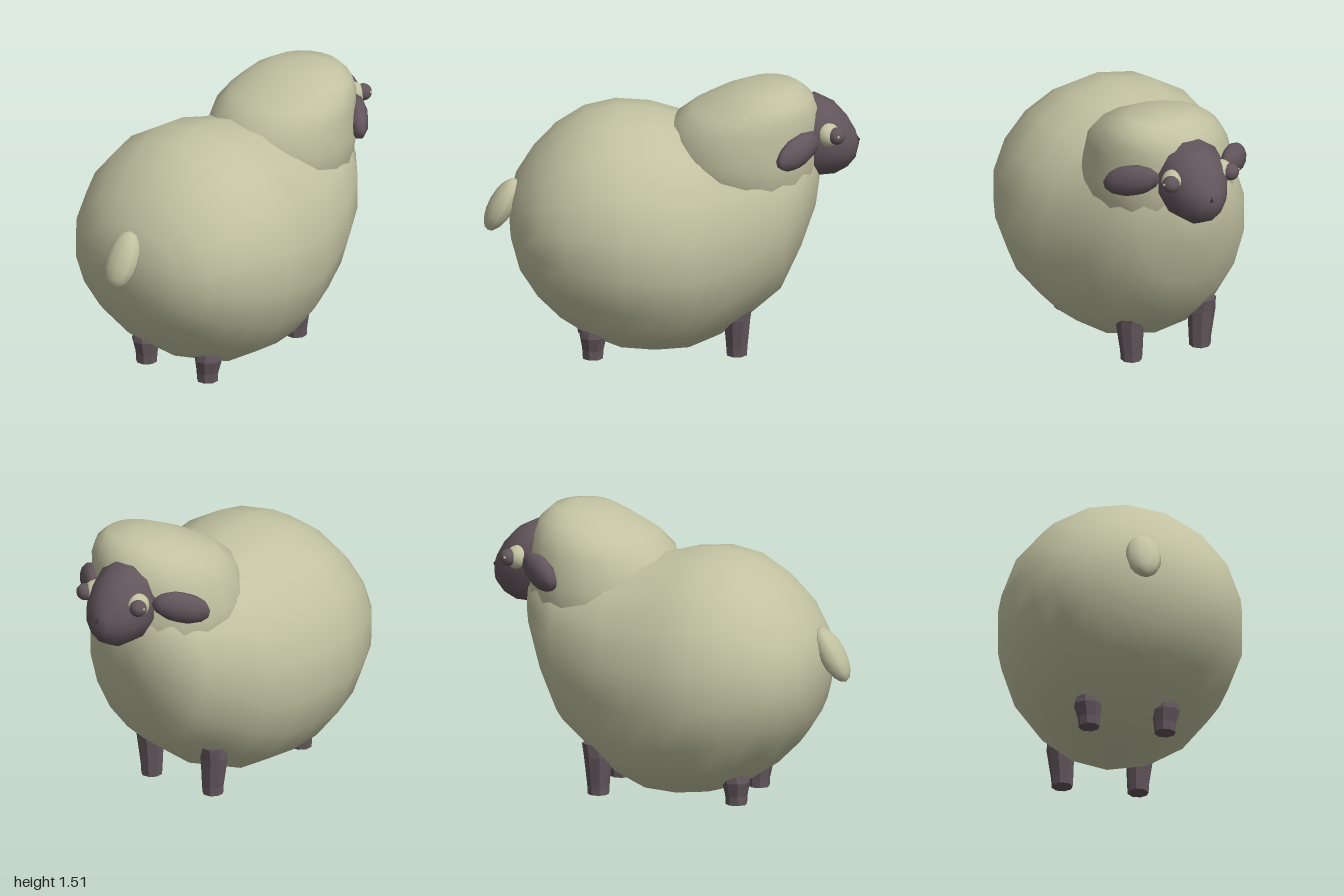
import * as THREE from 'three';

const mat = (name, color) => {
  const m = new THREE.MeshStandardMaterial({ color });
  m.name = name;
  return m;
};

// Closed skin over elliptical rings; rows are [w, u, v, ru, rv], first and last rows are poles.
// axis 'z': w=z, u=x, v=y.  axis 'y': w=y, u=z, v=x.
function loft(rows, sides, axis, flat = false) {
  const pos = [], idx = [];
  const put = (w, u, v) => pos.push(...(axis === 'z' ? [u, v, w] : [v, w, u]));
  const last = rows.length - 1;
  put(rows[0][0], rows[0][1], rows[0][2]);
  for (let i = 1; i < last; i++) {
    const [w, u, v, ru, rv] = rows[i];
    for (let j = 0; j < sides; j++) {
      const a = ((j + 0.5) / sides) * Math.PI * 2;
      put(w, u + ru * Math.cos(a), v + rv * Math.sin(a));
    }
  }
  put(rows[last][0], rows[last][1], rows[last][2]);
  const end = pos.length / 3 - 1;
  const at = (i, j) => 1 + (i - 1) * sides + (j % sides);
  for (let j = 0; j < sides; j++) {
    idx.push(0, at(1, j + 1), at(1, j));
    for (let i = 1; i < last - 1; i++) {
      const a = at(i, j), b = at(i, j + 1), c = at(i + 1, j + 1), d = at(i + 1, j);
      idx.push(a, b, d, b, c, d);
    }
    idx.push(at(last - 1, j), at(last - 1, j + 1), end);
  }
  let g = new THREE.BufferGeometry();
  g.setAttribute('position', new THREE.Float32BufferAttribute(pos, 3));
  g.setIndex(idx);
  if (flat) g = g.toNonIndexed();
  g.computeVertexNormals();
  return g;
}

export function createModel() {
  const root = new THREE.Group();
  root.name = 'sheep';
  const wool = mat('wool', 0xc2c2a2);
  const skin = mat('darkSkin', 0x62565c);
  const noseDark = mat('noseDark', 0x40363c);
  const add = (name, geo, material) => {
    const m = new THREE.Mesh(geo, material);
    m.name = name;
    root.add(m);
    return m;
  };

  // Round fleece: z, bottom, top, half width, centre x
  const body = [
    [-0.79, 0.97, 0.97, 0, 0.05], [-0.76, 0.78, 1.18, 0.16, 0.05], [-0.68, 0.56, 1.25, 0.29, 0.05],
    [-0.57, 0.33, 1.27, 0.39, 0.05], [-0.4, 0.19, 1.27, 0.48, 0.04], [-0.25, 0.08, 1.27, 0.54, 0.02],
    [-0.08, 0.01, 1.28, 0.6, 0.01], [0.1, 0, 1.33, 0.645, 0], [0.28, 0.02, 1.345, 0.66, 0],
    [0.45, 0.09, 1.31, 0.62, 0], [0.6, 0.19, 1.22, 0.55, 0], [0.72, 0.31, 1.1, 0.46, 0],
    [0.81, 0.45, 0.97, 0.32, 0], [0.85, 0.6, 0.85, 0.16, 0], [0.86, 0.72, 0.72, 0, 0],
  ].map(([z, lo, hi, rx, cx]) => [z, cx, (lo + hi) / 2, rx, (hi - lo) / 2]);
  add('body', loft(body, 18, 'z'), wool);

  // Woolly neck and crown: y, front z, back z, half width, centre x
  const neck = [
    [0.62, -0.4, -0.4, 0, 0.04], [0.78, -0.7, -0.1, 0.3, 0.04], [0.95, -0.775, 0.04, 0.39, 0.05],
    [1.12, -0.79, 0.05, 0.405, 0.065], [1.28, -0.785, 0, 0.37, 0.08], [1.36, -0.775, -0.1, 0.34, 0.1],
    [1.43, -0.74, -0.24, 0.28, 0.115], [1.485, -0.68, -0.36, 0.19, 0.135], [1.515, -0.56, -0.56, 0, 0.15],
  ].map(([y, f, b, rx, cx]) => [y, (f + b) / 2, cx, (b - f) / 2, rx]);
  add('neckWool', loft(neck, 18, 'y'), wool);

  // Face: z, bottom, top, half width
  const hx = 0.065;
  const face = [
    [-0.995, 1.13, 1.13, 0], [-0.975, 1.05, 1.2, 0.06], [-0.93, 1.0, 1.28, 0.12],
    [-0.86, 0.965, 1.36, 0.165], [-0.76, 0.96, 1.41, 0.195], [-0.64, 1.0, 1.38, 0.19], [-0.58, 1.2, 1.2, 0],
  ].map(([z, lo, hi, rx]) => [z, hx, (lo + hi) / 2, rx, (hi - lo) / 2]);
  add('face', loft(face, 12, 'z'), skin);

  // Triangular nose pad
  const nose = add('nose', new THREE.ConeGeometry(0.045, 0.03, 3), noseDark);
  nose.rotation.x = -Math.PI / 2;
  nose.position.set(hx, 1.145, -0.985);

  for (const s of [1, -1]) {
    const side = s > 0 ? 'left' : 'right';

    // Drooping ear swept back from the cheek
    const along = new THREE.Vector3(s * 0.2, -0.08, 0.21).normalize();
    const across = along.clone().cross(new THREE.Vector3(0, 1, 0)).normalize();
    const up = across.clone().cross(along);
    const ear = add(side + 'Ear', new THREE.SphereGeometry(1, 9, 7), skin);
    ear.quaternion.setFromRotationMatrix(new THREE.Matrix4().makeBasis(along, up, across));
    ear.scale.set(0.165, 0.085, 0.058);
    ear.position.set(hx + s * 0.305, 1.195, -0.65);

    // Eyeball, pupil and glint
    const ball = (name, r, x, y, z, m) =>
      add(side + name, new THREE.SphereGeometry(r, 14, 10), m).position.set(hx + s * x, y, z);
    ball('Eye', 0.065, 0.14, 1.225, -0.82, wool);
    ball('Pupil', 0.046, 0.178, 1.23, -0.863, skin);
    ball('EyeGlint', 0.007, 0.222, 1.238, -0.87, wool);

    // Tapered legs: y, z, x, half depth, half width
    const leg = (name, z, top, splay) => add(side + name, loft([
      [0, z, s * 0.205, 0, 0], [0, z, s * 0.205, 0.057, 0.057], [0.05, z, s * 0.205, 0.06, 0.06],
      [top * 0.75, z, s * (0.205 + splay * 0.6), 0.075, 0.075],
      [top, z - 0.01, s * (0.205 + splay), 0.075, 0.065], [top, z - 0.01, s * (0.205 + splay), 0, 0],
    ], 8, 'y', true), skin);
    leg('FrontLeg', -0.335, 0.28, 0.015);
    leg('BackLeg', 0.43, 0.165, 0.01);
  }

  // Stubby tail hanging outward
  const tail = add('tail', new THREE.SphereGeometry(1, 10, 8), wool);
  tail.scale.set(0.095, 0.16, 0.068);
  tail.rotation.x = -0.5;
  tail.position.set(0, 0.8, 0.9);

  return root;
}
